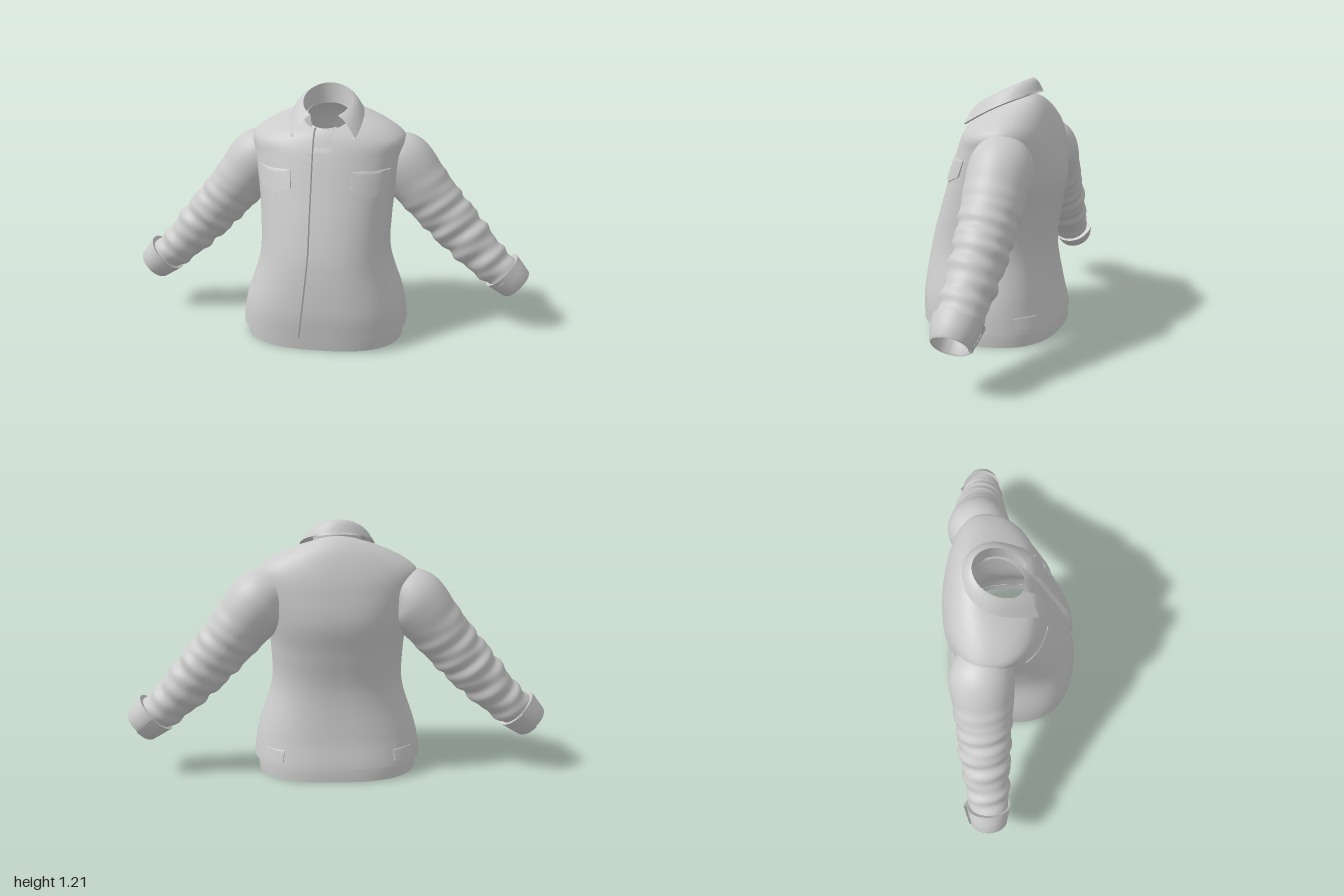
import * as THREE from 'three';
import { mergeVertices, toCreasedNormals } from 'three/addons/utils/BufferGeometryUtils.js';

const material = new THREE.MeshStandardMaterial({ color: 0xcccccc, side: THREE.DoubleSide });

// Grid surface from a rule fn(u, v) -> [x, y, z], u and v in 0..1
function surface(name, nu, nv, fn, crease = 0) {
  const pos = [], idx = [];
  for (let j = 0; j <= nv; j++)
    for (let i = 0; i <= nu; i++) pos.push(...fn(i / nu, j / nv));
  for (let j = 0; j < nv; j++)
    for (let i = 0; i < nu; i++) {
      const a = j * (nu + 1) + i, b = a + 1, c = a + nu + 1, d = c + 1;
      idx.push(a, b, d, a, d, c);
    }
  let geo = new THREE.BufferGeometry();
  geo.setAttribute('position', new THREE.Float32BufferAttribute(pos, 3));
  geo.setIndex(idx);
  geo = mergeVertices(geo);
  if (crease) geo = toCreasedNormals(geo, crease);
  else geo.computeVertexNormals();
  const mesh = new THREE.Mesh(geo, material);
  mesh.name = name;
  return mesh;
}

// Smooth interpolation of rows keyed by their first number
function sample(rows, k) {
  const last = rows.length - 1;
  k = Math.min(Math.max(k, rows[0][0]), rows[last][0]);
  let i = 0;
  while (i < last - 1 && k > rows[i + 1][0]) i++;
  const a = rows[i], b = rows[i + 1], h = b[0] - a[0], t = (k - a[0]) / h;
  const p = rows[Math.max(i - 1, 0)], q = rows[Math.min(i + 2, last)];
  return a.map((v, c) => {
    const m0 = (b[c] - p[c]) / (b[0] - p[0]) * h, m1 = (q[c] - v) / (q[0] - a[0]) * h;
    const t2 = t * t, t3 = t2 * t;
    return (2 * t3 - 3 * t2 + 1) * v + (t3 - 2 * t2 + t) * m0 + (3 * t2 - 2 * t3) * b[c] + (t3 - t2) * m1;
  });
}

// Torso sections: y, half width, front z, back z, middle z, squareness, tilt
const torso = [
  [0.00, 0.405, 0.325, -0.335, 0.00, 2.6, 0],
  [0.07, 0.405, 0.33, -0.33, 0.00, 2.6, 0],
  [0.20, 0.385, 0.335, -0.30, 0.00, 2.6, 0],
  [0.42, 0.318, 0.31, -0.275, 0.00, 2.5, 0],
  [0.60, 0.318, 0.262, -0.298, -0.02, 2.4, 0],
  [0.75, 0.335, 0.212, -0.323, -0.06, 2.4, 0],
  [0.90, 0.365, 0.162, -0.305, -0.11, 2.3, 0],
  [0.98, 0.37, 0.138, -0.28, -0.11, 2.2, 0.08],
  [1.04, 0.29, 0.12, -0.245, -0.08, 2.1, 0.22],
  [1.075, 0.19, 0.105, -0.205, -0.06, 2, 0.35],
  [1.09, 0.12, 0.09, -0.18, -0.06, 2, 0.4],
];

// Point on the torso; angle 0 is the front, PI/2 is the left side
function torsoPoint(y, angle, inset = 0) {
  const [, hx, zf, zb, zc, n, tilt] = sample(torso, y);
  const s = Math.sin(angle), c = Math.cos(angle), e = 2 / n;
  const depth = c > 0 ? zf - zc - inset * 1.3 : zc - zb - inset * 0.4;
  const dz = Math.sign(c) * Math.abs(c) ** e * depth;
  return [Math.sign(s) * Math.abs(s) ** e * (hx - inset), y - tilt * dz - (y > 0.95 ? inset * 0.4 : 0), zc + dz];
}

// Angle of the open front edge, wider toward the hem
function openingAngle(y) {
  const [, hx, , , , n] = sample(torso, y);
  const gap = 0.046 + 0.042 * (Math.max(0, 0.5 - y) / 0.43) ** 1.3;
  return Math.asin((gap / hx) ** (n / 2));
}

// Raised cloth patch on the torso, with its borders tucked in
function patch(name, a0, a1, top, bottom, lift) {
  return surface(name, 18, 10, (u, v) => {
    const edge = u === 0 || u === 1 || v === 0 || v === 1;
    const uu = Math.min(Math.max(u, 0.06), 0.94), vv = Math.min(v, 0.9) / 0.9;
    const y = top + (bottom(uu) - top) * vv;
    return torsoPoint(y, a0 + (a1 - a0) * uu, edge ? 0.008 : -lift * (0.4 + 0.6 * vv));
  }, 0.7);
}

// Sleeve sections: t, x, y, radius, z, radius in z
const sleeve = [
  [0.00, 0.26, 0.90, 0.10, -0.13, 0.11],
  [0.14, 0.35, 0.84, 0.148, -0.14, 0.148],
  [0.28, 0.45, 0.725, 0.138, -0.14, 0.142],
  [0.45, 0.54, 0.62, 0.128, -0.14, 0.13],
  [0.65, 0.65, 0.50, 0.12, -0.14, 0.12],
  [0.85, 0.78, 0.365, 0.10, -0.135, 0.105],
  [1.00, 0.88, 0.28, 0.088, -0.13, 0.093],
];

function sleevePoint(side, u, t) {
  const [, x, y, r, z, rz] = sample(sleeve, t);
  const p = sample(sleeve, t - 0.03), q = sample(sleeve, t + 0.03);
  const len = Math.hypot(q[1] - p[1], q[2] - p[2]);
  const dx = (q[1] - p[1]) / len, dy = (q[2] - p[2]) / len;
  const a = u * Math.PI * 2, c = Math.cos(a), s = Math.sin(a);
  // Slanting cloth folds, stronger toward the wrist
  const fold = Math.min(1, Math.max(0, (t - 0.2) * 2.2));
  const k = 1 + fold * (0.045 * Math.sin(t * 44 + 1.4 * s + 0.8 * c) + 0.03 * Math.sin(t * 75 - 2 * c + s));
  return [side * (x - dy * c * r * k), y + dx * c * r * k, z + s * rz * k];
}

// Turned-back cuff: along axis, radius, from inner rim over the outside to the lining
const cuffProfile = [[0.005, 0.085], [0, 0.11], [0.05, 0.1], [0.1, 0.089], [0.108, 0.082], [0.1, 0.074], [0.03, 0.072]];

function cuffPoint(side, u, v) {
  const [d, r] = cuffProfile[Math.round(v * (cuffProfile.length - 1))];
  // The ends overlap in a spiral at the back
  const a = -1.9 + u * (Math.PI * 2 + 0.35), k = 0.97 + 0.13 * Math.max(0, u * 4 - 3) ** 2;
  const c = Math.cos(a) * r * k, s = Math.sin(a) * r * k;
  return [side * (0.865 + 0.74 * d + 0.67 * c), 0.3 - 0.67 * d + 0.74 * c, -0.133 + s];
}

// Collar: inner stand, fold line and falling outer leaf with pointed ends
function collarPoint(u, v) {
  const w = u * 2 - 1;
  const ring = (rx, rzBack, rzFront, turn) => {
    const a = w * turn, c = Math.cos(a);
    return [rx * Math.sin(a), -0.04 - (c > 0 ? rzBack : rzFront) * c];
  };
  const [bx, bz] = ring(0.11, 0.125, 0.13, 2.6);
  const [fx, fz] = ring(0.115, 0.125, 0.135, 2.55);
  const [ox, oz] = ring(0.176, 0.172, 0.32, 2.1);
  const d = oz + 0.212;
  const base = [bx, 1.07 - 0.35 * (bz + 0.04), bz];
  const fold = [fx, 1.212 - 0.48 * (fz + 0.165), fz];
  const out = [ox, 1.15 - 0.3 * d - 0.45 * d * d, oz];
  const mix = (p, q, t) => p.map((n, i) => n + (q[i] - n) * t);
  if (v < 0.4) return mix(base, fold, v / 0.4);
  if (v > 0.95) { // hem thickness
    const p = mix(fold, out, 0.96);
    return [p[0] * 0.93, p[1] - 0.004, p[2] - 0.008];
  }
  const t = (v - 0.4) / 0.5, p = mix(fold, out, Math.min(t, 1));
  p[1] += 0.014 * Math.sin(Math.PI * Math.min(t, 1));
  return p;
}

export function createModel() {
  const model = new THREE.Group();
  model.name = 'jacketOverShirt';

  // Open jacket with folded front edges and hem
  const cols = 96, rows = 64;
  model.add(surface('jacketBody', cols, rows, (u, v) => {
    const y = 0.07 + 1.02 * Math.max(0, (v * rows - 1) / (rows - 1));
    const a = openingAngle(y);
    const t = Math.min(Math.max((u * cols - 1) / (cols - 2), 0), 1);
    const tucked = u === 0 || u === 1 || v === 0;
    return torsoPoint(y, a + t * (Math.PI * 2 - 2 * a), tucked ? 0.022 : 0);
  }, 0.9));

  // Closed shirt underneath, longer than the jacket
  model.add(surface('innerShirt', 96, 60, (u, v) => torsoPoint(0.005 + 1.085 * v, u * Math.PI * 2, 0.02)));

  model.add(surface('collar', 56, 20, collarPoint, 0.9));

  for (const side of [1, -1]) {
    const label = side > 0 ? 'left' : 'right';
    model.add(surface(label + 'Sleeve', 40, 90, (u, v) => sleevePoint(side, u, v)));
    model.add(surface(label + 'Cuff', 48, cuffProfile.length - 1, (u, v) => cuffPoint(side, u, v), 0.8));
    // Pointed chest pocket flap
    model.add(patch(label + 'PocketFlap', side * 0.3, side * 1.08, 0.86,
      (u) => 0.735 + 0.045 * Math.abs(u * 2 - 1), 0.007));
    // Adjuster tab at the back of the hem
    model.add(patch(label + 'HemTab', side * 2.12, side * 2.57, 0.15, () => 0.092, 0.006));
  }
  return model;
}
